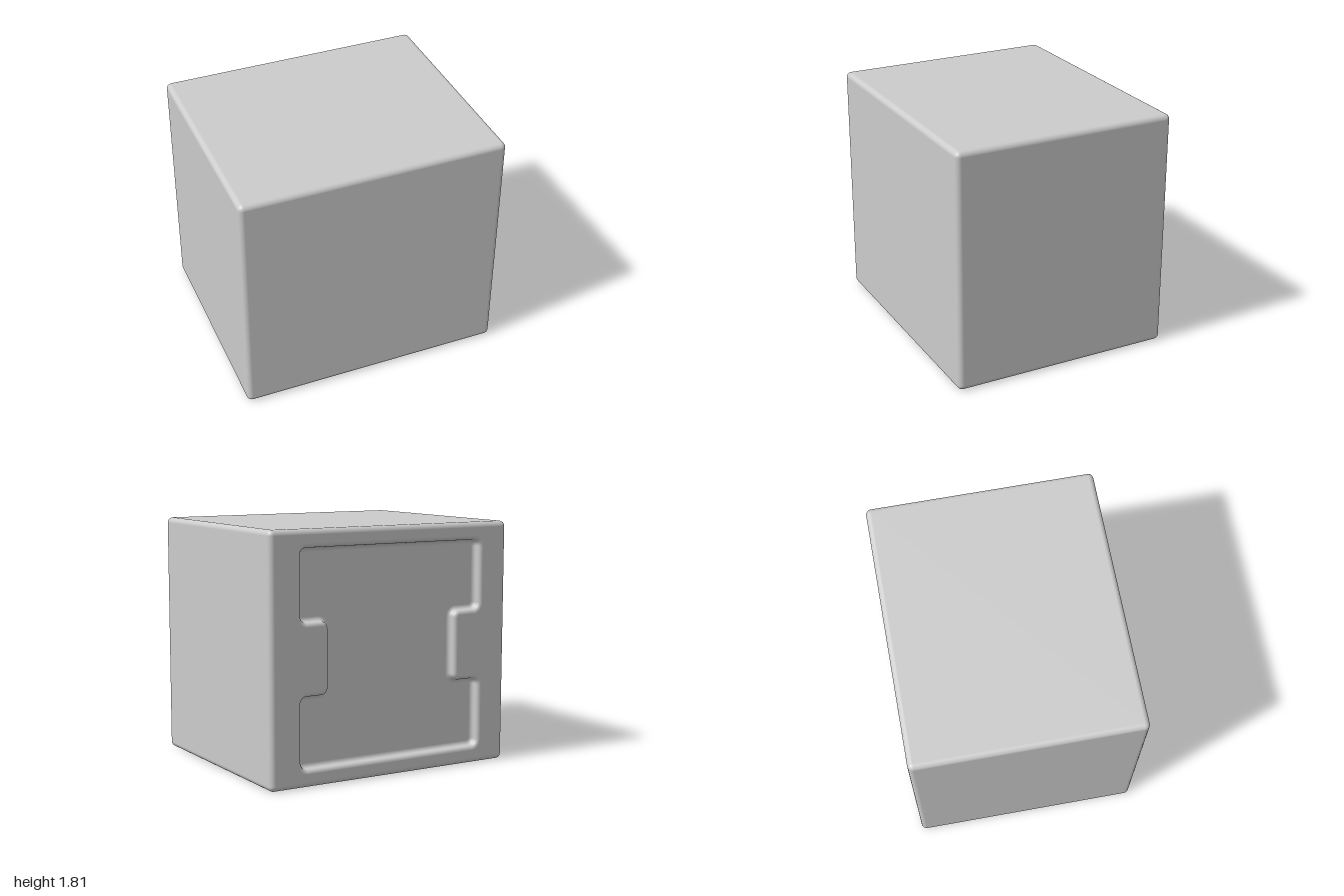
import * as THREE from 'three';
import { RoundedBoxGeometry } from 'three/addons/geometries/RoundedBoxGeometry.js';

const W = 2, H = 1.81, D = 1.69, EDGE = 0.04;
const CORNER = 0.05, FILLET = 0.03;

// Rounded box without the flat part of its back face
function openBox() {
  const geo = new RoundedBoxGeometry(W, H, D, 5, EDGE);
  const p = geo.attributes.position, n = geo.attributes.normal;
  const pos = [], nor = [];
  for (let i = 0; i < p.count; i += 3) {
    const flat = [0, 1, 2].every(k => p.getZ(i + k) < -D / 2 + 1e-5);
    if (flat) continue;
    for (let k = i; k < i + 3; k++) {
      pos.push(p.getX(k), p.getY(k), p.getZ(k));
      nor.push(n.getX(k), n.getY(k), n.getZ(k));
    }
  }
  const out = new THREE.BufferGeometry();
  out.setAttribute('position', new THREE.Float32BufferAttribute(pos, 3));
  out.setAttribute('normal', new THREE.Float32BufferAttribute(nor, 3));
  return out;
}

// Outline of the recess with rounded corners: points with outward normals
function recessOutline() {
  const X = 0.755, Y = 0.775, tabX = 0.535, tabY = 0.26;
  const right = [[X, -Y], [X, -tabY], [tabX, -tabY], [tabX, tabY], [X, tabY], [X, Y]];
  const left = right.map(([x, y]) => [-x, -y]);
  const pts = [...right, ...left].map(c => new THREE.Vector2(...c));
  const out = [], steps = 8;
  pts.forEach((P, i) => {
    const a = P.clone().sub(pts.at(i - 1)).normalize();
    const b = pts[(i + 1) % pts.length].clone().sub(P).normalize();
    const n0 = new THREE.Vector2(a.y, -a.x), n1 = new THREE.Vector2(b.y, -b.x);
    const s = Math.sign(a.cross(b)) * CORNER;
    const c = P.clone().addScaledVector(n0, -s).addScaledVector(n1, -s);
    for (let k = 0; k <= steps; k++) {
      const t = k / steps * Math.PI / 2;
      const n = n0.clone().multiplyScalar(Math.cos(t)).addScaledVector(n1, Math.sin(t));
      out.push({ p: c.clone().addScaledVector(n, s), n });
    }
  });
  return out;
}

// Wall lofted through offset copies of the outline
function recessWall(rings, depths) {
  const pos = [], idx = [], m = rings[0].length;
  rings.forEach((ring, i) => ring.forEach(v => pos.push(v.x, v.y, depths[i])));
  for (let i = 0; i < rings.length - 1; i++) {
    for (let j = 0; j < m; j++) {
      const k = (j + 1) % m;
      const a = i * m + j, b = i * m + k, c = b + m, d = a + m;
      idx.push(a, b, c, a, c, d);
    }
  }
  const geo = new THREE.BufferGeometry();
  geo.setAttribute('position', new THREE.Float32BufferAttribute(pos, 3));
  geo.setIndex(idx);
  geo.computeVertexNormals();
  return geo;
}

export function createModel() {
  const model = new THREE.Group();
  model.name = 'recessedBlock';
  const material = new THREE.MeshStandardMaterial({ color: 0xcccccc });
  const add = (parent, name, geo) => {
    const mesh = new THREE.Mesh(geo, material);
    mesh.name = name;
    parent.add(mesh);
    return mesh;
  };

  add(model, 'body', openBox()).position.y = H / 2;

  // Back side, modelled facing +z and then turned round
  const back = new THREE.Group();
  back.name = 'backRecess';
  back.position.set(0, H / 2, -D / 2);
  back.rotation.y = Math.PI;
  model.add(back);

  // S-shaped wall profile: rounded rim, then rounded foot
  const profile = [], steps = 6;
  for (let k = 0; k <= steps; k++) {
    const t = k / steps * Math.PI / 2;
    profile.push([FILLET * (1 - Math.sin(t)), -FILLET * (1 - Math.cos(t))]);
  }
  for (let k = 1; k <= steps; k++) {
    const t = k / steps * Math.PI / 2;
    profile.push([-FILLET * (1 - Math.cos(t)), -FILLET * (1 + Math.sin(t))]);
  }
  const outline = recessOutline();
  const rings = profile.map(([o]) => outline.map(({ p, n }) => p.clone().addScaledVector(n, o)));
  const depths = profile.map(([, z]) => z);
  add(back, 'recessWall', recessWall(rings, depths));

  // Flat frame around the recess
  const x = W / 2 - EDGE, y = H / 2 - EDGE;
  const frame = new THREE.Shape([[-x, -y], [x, -y], [x, y], [-x, y]].map(c => new THREE.Vector2(...c)));
  frame.holes.push(new THREE.Path(rings[0]));
  add(back, 'backFrame', new THREE.ShapeGeometry(frame));

  // Sunken floor
  const floor = new THREE.ShapeGeometry(new THREE.Shape(rings.at(-1)));
  add(back, 'recessFloor', floor).position.z = depths.at(-1);

  return model;
}
